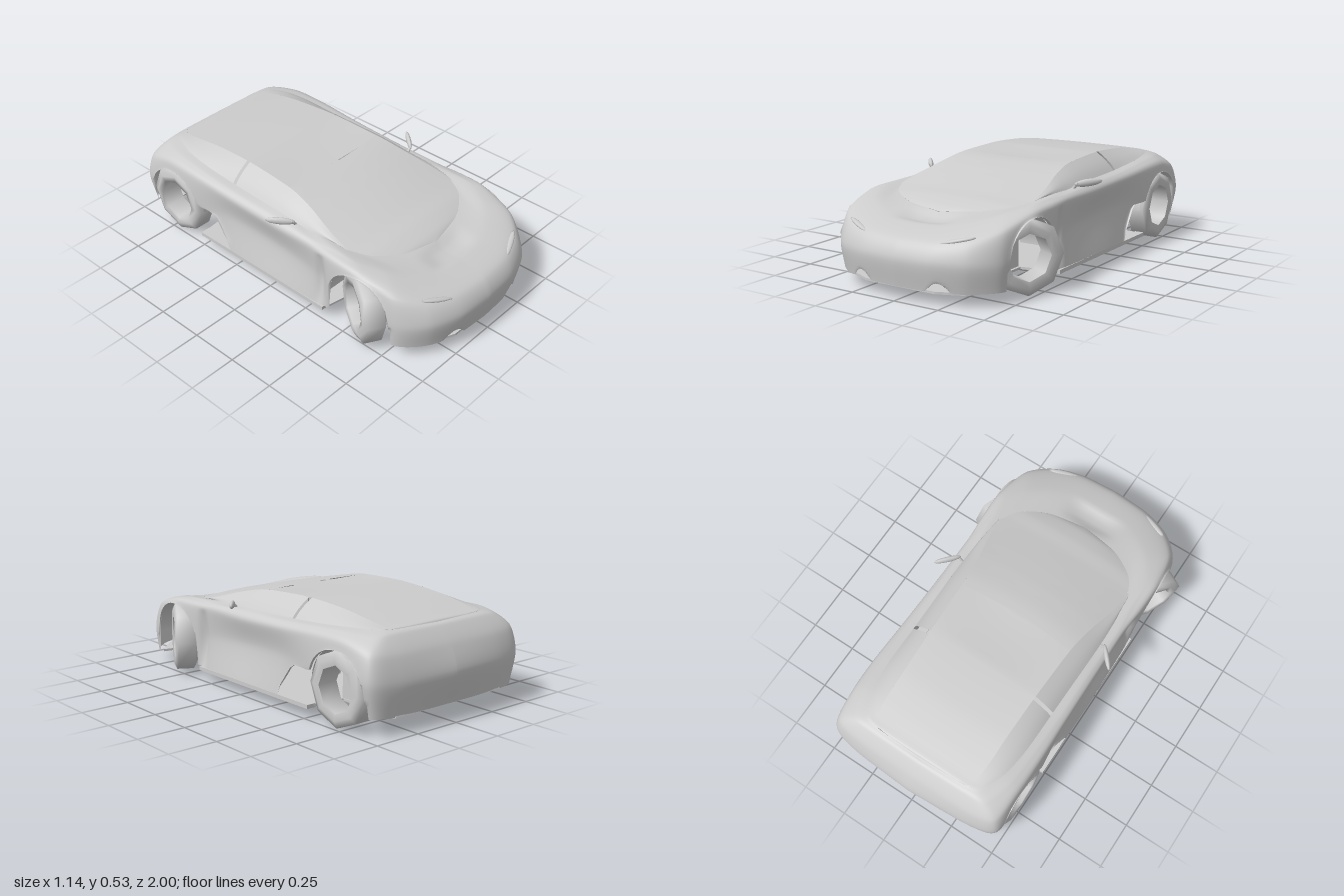
import * as THREE from 'three';

const paint = new THREE.MeshStandardMaterial({ color: 0xcccccc, side: THREE.DoubleSide });
paint.name = 'light grey';

// Character lines of the left half, running from nose centre to tail centre
const line = (pts) => new THREE.CatmullRomCurve3(pts.map((p) => new THREE.Vector3(...p)), false, 'catmullrom', 0.4);
const LAST = 13;
const sill = line([[0, .065, .98], [.2, .065, .965], [.35, .065, .91], [.46, .065, .8], [.48, .06, .6], [.48, .07, .42], [.492, .07, .27],
  [.497, .07, 0], [.497, .07, -.3], [.485, .07, -.55], [.475, .07, -.75], [.46, .09, -.92], [.33, .085, -.955], [0, .085, -.96]]);
const waist = line([[0, .2, 1], [.2, .2, .985], [.365, .2, .925], [.468, .2, .81], [.5, .22, .6], [.495, .22, .42], [.468, .24, .25],
  [.458, .25, 0], [.47, .26, -.3], [.5, .25, -.55], [.5, .25, -.75], [.488, .25, -.93], [.34, .24, -.978], [0, .24, -1]]);
const shoulder = line([[0, .285, .95], [.2, .288, .935], [.345, .305, .88], [.452, .34, .77], [.492, .378, .58], [.492, .382, .42], [.48, .378, .25],
  [.482, .378, 0], [.487, .39, -.3], [.494, .405, -.55], [.49, .405, -.75], [.465, .375, -.91], [.33, .365, -.948], [0, .365, -.956]]);
const crown = line([[0, .33, .8], [.17, .335, .8], [.29, .358, .74], [.385, .387, .65], [.442, .407, .53], [.45, .412, .4], [.46, .41, .25],
  [.46, .415, 0], [.46, .425, -.3], [.457, .44, -.55], [.444, .447, -.73], [.395, .44, -.865], [.3, .443, -.89], [0, .443, -.895]]);
const belt = line([[0, .355, .66], [.2, .37, .62], [.33, .39, .54], [.385, .405, .45], [.405, .415, .35], [.415, .42, .27], [.42, .42, .15],
  [.42, .43, 0], [.415, .435, -.3], [.412, .45, -.55], [.39, .46, -.71], [.34, .462, -.815], [.27, .46, -.855], [0, .455, -.865]]);
const rail = line([[0, .355, .66], [.2, .37, .62], [.33, .39, .54], [.385, .405, .45], [.385, .43, .35], [.37, .455, .26], [.346, .485, .15],
  [.325, .514, 0], [.312, .525, -.3], [.305, .51, -.55], [.303, .487, -.71], [.29, .468, -.815], [.25, .462, -.855], [0, .455, -.865]]);

const FRONT_Z = 0.58, REAR_Z = -0.71, AXLE_Y = 0.185, ARCH = 0.186;

// Lowest body height: nose intakes, wheel arches and the cut-out ahead of the rear wheel
function bodyBottom(x, z) {
  if (x < 0.3) return z > 0.8 ? 0.065 + 0.045 * Math.max(0, 1 - ((x - 0.22) / 0.06) ** 2) : 0;
  let y = 0;
  for (const c of [FRONT_Z, REAR_Z]) {
    const d = z - c;
    if (Math.abs(d) < ARCH) y = Math.max(y, AXLE_Y + Math.sqrt(ARCH * ARCH - d * d));
  }
  if (z < -0.3 && z > -0.56) y = Math.max(y, Math.min(0.24, 0.1 + (-0.3 - z) * 1.35));
  return y;
}

// Smooth grid surface from point(u, v), with u and v in 0..1
function grid(point, nu, nv) {
  const pos = [], index = [];
  for (let i = 0; i <= nu; i++) {
    for (let j = 0; j <= nv; j++) {
      const p = point(i / nu, j / nv);
      pos.push(p.x, p.y, p.z);
      if (i < nu && j < nv) {
        const a = i * (nv + 1) + j, b = a + nv + 1;
        index.push(a, a + 1, b, b, a + 1, b + 1);
      }
    }
  }
  const g = new THREE.BufferGeometry();
  g.setAttribute('position', new THREE.Float32BufferAttribute(pos, 3));
  g.setIndex(index);
  g.computeVertexNormals();
  return g;
}

export function createModel() {
  const car = new THREE.Group();
  car.name = 'sportsCar';
  const add = (name, geo, parent = car) => {
    const m = new THREE.Mesh(geo, paint);
    m.name = name;
    parent.add(m);
    return m;
  };

  // Body shell wrapping nose, flanks and tail, with a bonnet scoop and a groove behind each front wheel
  add('bodyShell', grid((u, v) => {
    const t = 1 - u * 2;
    const column = new THREE.CatmullRomCurve3([sill, waist, shoulder, crown, belt].map((l) => l.getPoint(Math.abs(t))), false, 'catmullrom', 0.4);
    const p = column.getPoint(v);
    p.y = Math.max(p.y, bodyBottom(p.x, p.z));
    p.y -= 0.02 * Math.exp(-((p.x / 0.14) ** 4) - ((p.z - 0.73) / 0.055) ** 4);
    if (v < 0.5) p.x -= 0.025 * Math.sin(Math.PI * 2 * v) * Math.exp(-(((p.z - 0.335) / 0.025) ** 2));
    if (t < 0) p.x *= -1;
    return p;
  }, 280, 28));

  // Glass and roof skins spanning between the two roof rails
  const span = (name, k0, k1, rise, n) => add(name, grid((u, v) => {
    const p = rail.getPoint((k0 + (k1 - k0) * u) / LAST);
    const s = v * 2 - 1;
    p.y += rise(u) * (1 - s * s);
    p.z += name === 'windshield' ? 0.02 * u * (1 - s * s) : 0;
    p.x *= s;
    return p;
  }, n, 12));
  span('windshield', 0, 7.1, (u) => 0.02 * Math.sin(Math.PI * u), 36);
  span('roofPanel', 7.05, 8.07, (u) => -0.007 * Math.sin(Math.PI * Math.min(1, u + 0.1)), 10);
  span('engineCover', 8.07, LAST, (u) => 0.004 * Math.sin(Math.PI * u), 24);

  for (const side of [1, -1]) {
    // Side glass and rear buttress, with a narrow slot between them
    const strip = (name, k0, k1) => add(name, grid((u, v) => {
      const k = (side > 0 ? k1 + (k0 - k1) * u : k0 + (k1 - k0) * u) / LAST;
      const p = belt.getPoint(k).lerp(rail.getPoint(k), v);
      p.x = side * (p.x + 0.01 * Math.sin(Math.PI * v));
      return p;
    }, 24, 5));
    strip('sideWindow', 3, 8.06);
    strip('rearButtress', 8.14, LAST - 1);

    // Door mirror on a short arm
    const mirror = new THREE.Group();
    mirror.name = 'doorMirror';
    const housing = add('mirrorHousing', new THREE.SphereGeometry(1, 14, 8), mirror);
    housing.scale.set(0.074, 0.019, 0.013);
    housing.position.set(side * 0.485, 0.446, 0.075);
    housing.rotation.set(0, side * 0.86, side * 0.08);
    const arm = add('mirrorArm', new THREE.CylinderGeometry(0.006, 0.009, 0.05, 6), mirror);
    arm.position.set(side * 0.437, 0.43, 0.12);
    arm.rotation.z = -side * 0.7;
    car.add(mirror);

    // Slim slanted headlight
    const lamp = add('headlight', new THREE.SphereGeometry(1, 12, 6));
    lamp.scale.set(0.09, 0.01, 0.016);
    lamp.position.set(side * 0.285, 0.3, 0.897);
    lamp.rotation.set(0, side * 0.42, side * 0.2);

    // Wheels: open eight-sided rings, the front pair steered
    for (const [name, z, steer] of [['frontWheel', FRONT_Z, -0.52], ['rearWheel', REAR_Z, 0]]) {
      const ring = [[.115, -.055], [.15, -.06], [.185, -.045], [.185, .045], [.15, .06], [.115, .055], [.115, -.055]];
      const geo = new THREE.LatheGeometry(ring.map((p) => new THREE.Vector2(...p)), 8);
      geo.rotateZ(Math.PI / 2);
      const wheel = add(name, geo);
      wheel.position.set(side * 0.437, AXLE_Y, z);
      wheel.rotation.y = steer;

      // Wheel well: inner wall and curved liner
      const wall = add('wheelWellWall', new THREE.BoxGeometry(0.008, 0.26, 0.34));
      wall.position.set(side * 0.29, 0.2, z);
      const liner = new THREE.CylinderGeometry(0.19, 0.19, 0.18, 20, 1, true, 0, Math.PI);
      liner.rotateZ(Math.PI / 2);
      add('wheelWellLiner', liner).position.set(side * 0.38, AXLE_Y, z);
    }

    // Sill blade below the door
    const blade = add('sideSill', new THREE.BoxGeometry(0.05, 0.02, 0.88));
    blade.position.set(side * 0.472, 0.06, -0.08);
  }

  // Flat underbody with wheel notches
  const half = [[.2, .955], [.33, .9], [.44, .79], [.3, .76], [.3, .4], [.46, .37], [.46, -.52], [.29, -.54], [.29, -.86]];
  const outline = [...half, ...half.map(([x, z]) => [-x, z]).reverse()].map((p) => new THREE.Vector2(...p));
  const floor = new THREE.ExtrudeGeometry(new THREE.Shape(outline), { depth: 0.012, bevelEnabled: false });
  floor.rotateX(Math.PI / 2);
  add('underbody', floor).position.y = 0.066;

  // Rising panel joining the underbody to the tail
  const diffuser = add('diffuser', new THREE.BoxGeometry(0.7, 0.008, 0.11));
  diffuser.position.set(0, 0.075, -0.905);
  diffuser.rotation.x = 0.24;

  return car;
}
